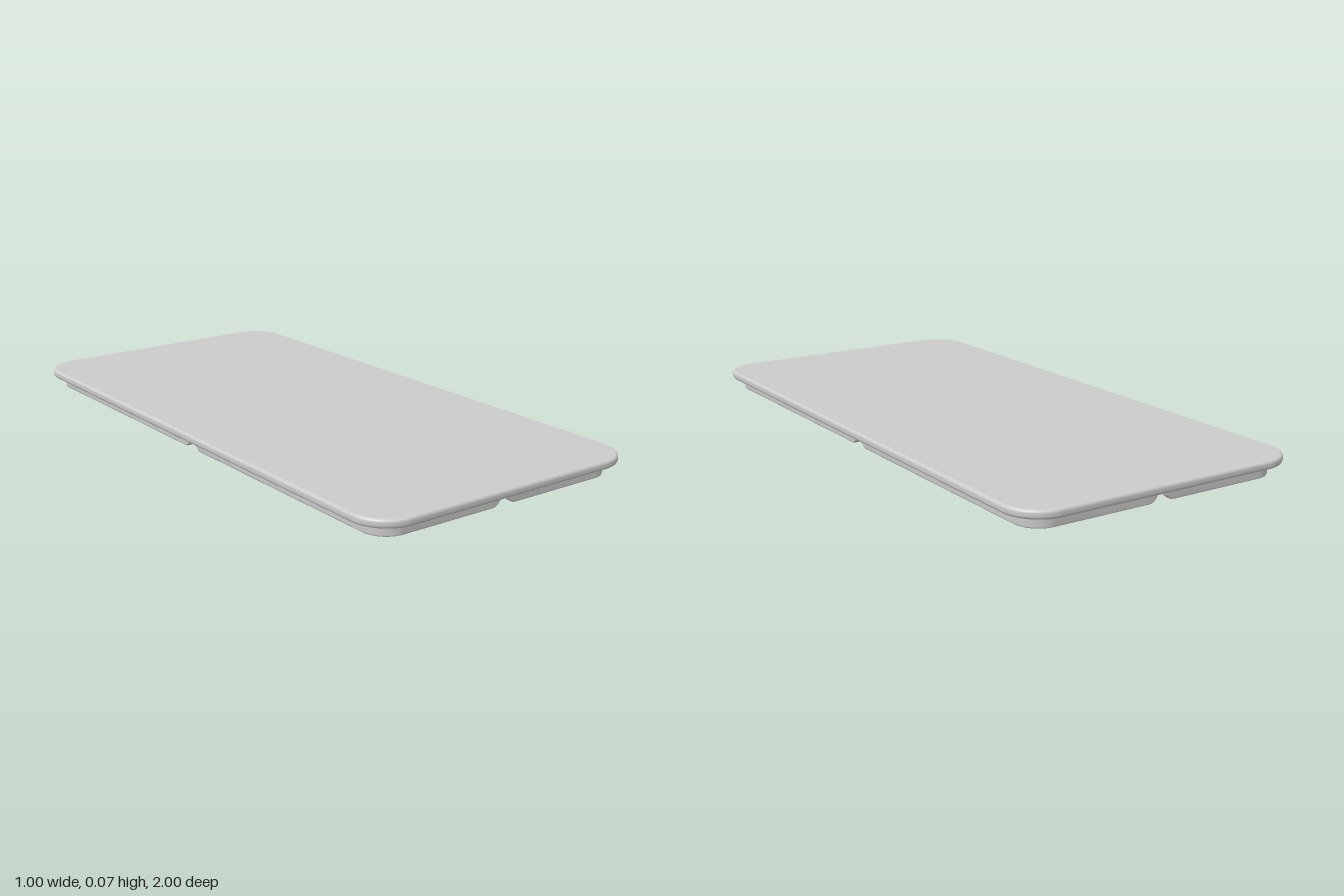
import * as THREE from 'three';

const material = new THREE.MeshStandardMaterial({ color: 0xcccccc });

// Sweep an [offset, y] section along stations { x, z, nx, nz, lift }.
// lift raises the underside; the section is squeezed towards its top.
function sweep(path, section, closed) {
  const top = section[0][1], n = section.length, pos = [], index = [];
  for (const p of path) {
    for (const [off, y] of section) {
      const lift = p.lift || 0;
      pos.push(p.x + p.nx * off, lift ? lift + y * (1 - lift / top) : y, p.z + p.nz * off);
    }
  }
  const rings = closed ? path.length : path.length - 1;
  for (let i = 0; i < rings; i++) {
    const a = i * n, b = ((i + 1) % path.length) * n;
    for (let j = 0; j < n - 1; j++) {
      index.push(a + j, b + j, a + j + 1, b + j, b + j + 1, a + j + 1);
    }
  }
  const geo = new THREE.BufferGeometry();
  geo.setAttribute('position', new THREE.Float32BufferAttribute(pos, 3));
  geo.setIndex(index);
  geo.computeVertexNormals();
  return geo;
}

// Quarter-round corner of a rounded rectangle with half sizes hx, hz.
function corner(hx, hz, r, quadrant, steps = 12) {
  const pts = [];
  const mid = (quadrant + 0.5) * Math.PI / 2;
  const cx = Math.sign(Math.cos(mid)) * (hx - r), cz = Math.sign(Math.sin(mid)) * (hz - r);
  for (let i = 0; i <= steps; i++) {
    const a = (quadrant + i / steps) * Math.PI / 2;
    const nx = Math.cos(a), nz = Math.sin(a);
    pts.push({ x: cx + nx * r, z: cz + nz * r, nx, nz });
  }
  return pts;
}

// Top plate: rounded edge band with flat faces above and below
function makePlate() {
  const plate = new THREE.Group();
  plate.name = 'plate';
  const y0 = 0.04, y1 = 0.069, rTop = 0.01, rBot = 0.012, steps = 6;
  const section = [];
  for (let i = 0; i <= steps; i++) {
    const a = (1 - i / steps) * Math.PI / 2;
    section.push([rTop * (Math.cos(a) - 1), y1 - rTop + rTop * Math.sin(a)]);
  }
  for (let i = 0; i <= steps; i++) {
    const a = (i / steps) * Math.PI / 2;
    section.push([rBot * (Math.cos(a) - 1), y0 + rBot - rBot * Math.sin(a)]);
  }
  const path = [0, 1, 2, 3].flatMap((q) => corner(0.5, 1, 0.12, q));
  const edge = new THREE.Mesh(sweep(path, section, true), material);
  edge.name = 'plateEdge';
  plate.add(edge);

  const addFace = (name, y, inset, turn) => {
    const outline = path.map((p) => new THREE.Vector2(p.x - p.nx * inset, p.z - p.nz * inset));
    const geo = new THREE.ShapeGeometry(new THREE.Shape(outline));
    geo.rotateX(turn);
    geo.translate(0, y, 0);
    const face = new THREE.Mesh(geo, material);
    face.name = name;
    plate.add(face);
  };
  addFace('plateTop', y1, rTop, -Math.PI / 2);
  addFace('plateUnderside', y0, rBot, Math.PI / 2);
  return plate;
}

// Wall section: flared into the plate, rounded along the bottom
const wallSection = [
  [0.008, 0.041], [0.003, 0.038], [0.0007, 0.035], [0, 0.031], [0, 0.006],
  [-0.0018, 0.0018], [-0.006, 0], [-0.019, 0], [-0.0232, 0.0018], [-0.025, 0.006],
  [-0.025, 0.031], [-0.0257, 0.035], [-0.028, 0.038], [-0.033, 0.041],
];

// One L-shaped quarter of the rim, with rounded ends beside the notches
function makeRimQuarter(hx, hz) {
  const gap = 0.016, r = 0.03;
  const ends = [[-0.009, 0.041], [-0.004, 0.039], [-0.001, 0.035], [0, 0.03]];
  for (let i = 1; i <= 8; i++) {
    const a = (i / 8) * Math.PI / 2;
    ends.push([r * (1 - Math.cos(a)), r * (1 - Math.sin(a))]);
  }
  const path = [
    ...ends.map(([s, lift]) => ({ x: hx, z: gap + s, nx: 1, nz: 0, lift })),
    ...corner(hx, hz, 0.08, 0),
    ...ends.map(([s, lift]) => ({ x: gap + s, z: hz, nx: 0, nz: 1, lift })).reverse(),
  ];
  return sweep(path, wallSection, false);
}

export function createModel() {
  const model = new THREE.Group();
  model.name = 'lid';
  model.add(makePlate());

  // Four rim quarters, turned round the centre
  const rim = new THREE.Group();
  rim.name = 'rim';
  for (let i = 0; i < 4; i++) {
    const geo = i % 2 ? makeRimQuarter(0.957, 0.457) : makeRimQuarter(0.457, 0.957);
    const quarter = new THREE.Mesh(geo, material);
    quarter.rotation.y = i * Math.PI / 2;
    quarter.name = 'rimQuarter' + (i + 1);
    rim.add(quarter);
  }
  model.add(rim);
  return model;
}
